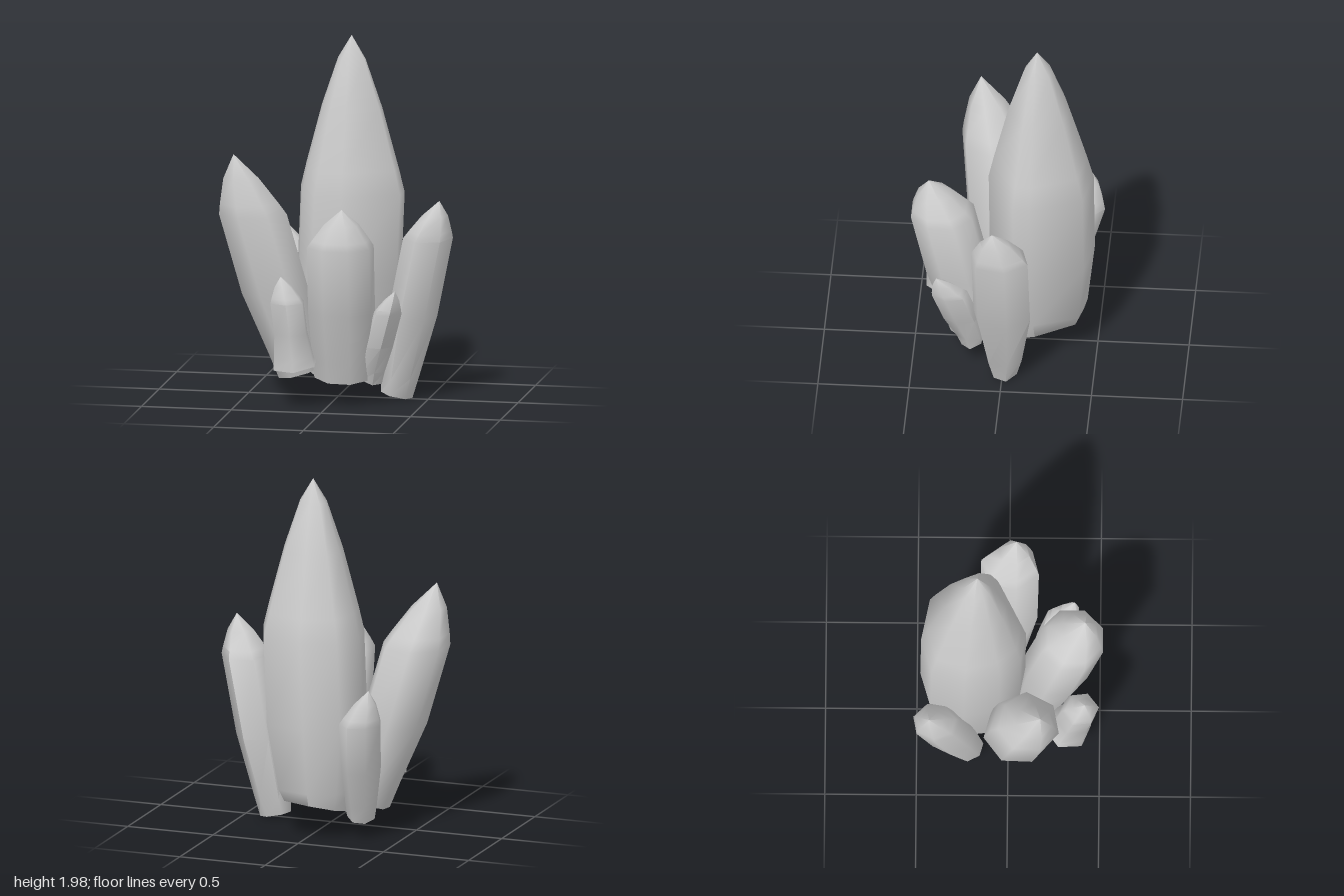
import * as THREE from 'three';
import { toCreasedNormals } from 'three/addons/utils/BufferGeometryUtils.js';

const material = new THREE.MeshStandardMaterial({ color: 0xcccccc });
const { lerp, degToRad } = THREE.MathUtils;

// Regular outline, first corner at `start` degrees, filling the -1..1 square
function regular(sides, start) {
  const angles = Array.from({ length: sides }, (_, i) => degToRad(start + (i * 360) / sides));
  const fill = (values) => {
    const lo = Math.min(...values), hi = Math.max(...values);
    return values.map((v) => ((v - lo) / (hi - lo)) * 2 - 1);
  };
  const xs = fill(angles.map(Math.cos)), zs = fill(angles.map(Math.sin));
  return xs.map((x, i) => [x, zs[i]]);
}

// Base and shoulder are [x, y, z, radiusX, radiusZ]; the tip is [x, y, z].
// The shaft reaches full width halfway up, the crown narrows to the tip.
// The base is cut square to the leaning axis unless a slope is given.
function crystal(name, shape, base, shoulder, tip, crownSteps = [0.18, 0.6], slope) {
  const n = shape.length;
  const blend = (a, b, t, e) => a.map((v, k) => lerp(v, b[k], k < 3 ? t : e));
  const shaft = [0, 0.12, 0.5, 1].map((t) => blend(base, shoulder, t, Math.min(1, 2 * t) ** 0.75));
  const crown = crownSteps.map((s) => blend(shoulder, [...tip, 0, 0], s, 1 - (1 - s) ** 0.7));
  const rings = [...shaft, ...crown];

  const rise = shoulder[1] - base[1];
  const [cutX, cutZ] = slope ?? [(base[0] - shoulder[0]) / rise, (base[2] - shoulder[2]) / rise];
  const pos = [], index = [];
  rings.forEach(([x, y, z, rx, rz], r) => {
    for (const [u, v] of shape) {
      const tilt = r === 0 ? cutX * u * rx + cutZ * v * rz : 0;
      pos.push(x + u * rx, y + tilt, z + v * rz);
    }
  });
  const tipId = rings.length * n, top = tipId - n;
  pos.push(...tip, ...base.slice(0, 3));

  for (let i = 0; i < n; i++) {
    const j = (i + 1) % n;
    for (let r = 0; r < top; r += n) {
      index.push(r + i, r + i + n, r + j, r + j, r + i + n, r + j + n);
    }
    index.push(top + i, tipId, top + j, i, j, tipId + 1);
  }
  const geo = new THREE.BufferGeometry();
  geo.setAttribute('position', new THREE.Float32BufferAttribute(pos, 3));
  geo.setIndex(index);
  const mesh = new THREE.Mesh(toCreasedNormals(geo, 1.1), material);
  mesh.name = name;
  return mesh;
}

// Uneven outline of the large crystal
const mainOutline = [[1, 0.15], [0.97, 0.47], [-0.03, 1], [-0.55, 0.9], [-0.85, 0.5],
  [-1, -0.17], [-0.8, -0.8], [-0.14, -1], [0.63, -0.84]];

export function createModel() {
  const group = new THREE.Group();
  group.name = 'crystalCluster';
  group.add(
    // Large centre crystal
    crystal('mainCrystal', mainOutline,
      [0, 0.165, -0.2, 0.2, 0.22], [0.042, 1.14, -0.19, 0.298, 0.287], [0.04, 2, -0.17],
      [0.15, 0.54, 0.85], [0.1, -0.22]),
    // Tall leaning crystals at the sides and front
    crystal('tallRightCrystal', regular(7, 2),
      [-0.21, 0.15, 0.015, 0.11, 0.105], [-0.45, 1.04, 0.093, 0.182, 0.187], [-0.55, 1.38, 0.18]),
    crystal('tallLeftCrystal', regular(6, -12),
      [0.322, 0.035, -0.01, 0.085, 0.07], [0.5, 0.92, 0.005, 0.132, 0.158], [0.57, 1.135, 0.04]),
    crystal('frontCrystal', regular(8, 22),
      [0.06, 0.17, 0.18, 0.15, 0.12], [0.078, 0.92, 0.348, 0.174, 0.168], [0.1, 1.14, 0.42]),
    // Small crystals around the foot
    crystal('smallFrontRightCrystal', regular(6, 23),
      [-0.18, 0.25, 0.325, 0.12, 0.128], [-0.21, 0.61, 0.395, 0.092, 0.102], [-0.24, 0.755, 0.42]),
    crystal('smallFrontLeftCrystal', regular(6, 11),
      [0.212, 0.155, 0.17, 0.065, 0.06], [0.332, 0.55, 0.29, 0.08, 0.095], [0.385, 0.685, 0.36]),
    crystal('smallBackCrystal', regular(7, 29),
      [-0.265, 0.13, -0.215, 0.075, 0.08], [-0.33, 0.7, -0.39, 0.112, 0.128], [-0.385, 0.9, -0.43]),
  );
  return group;
}
